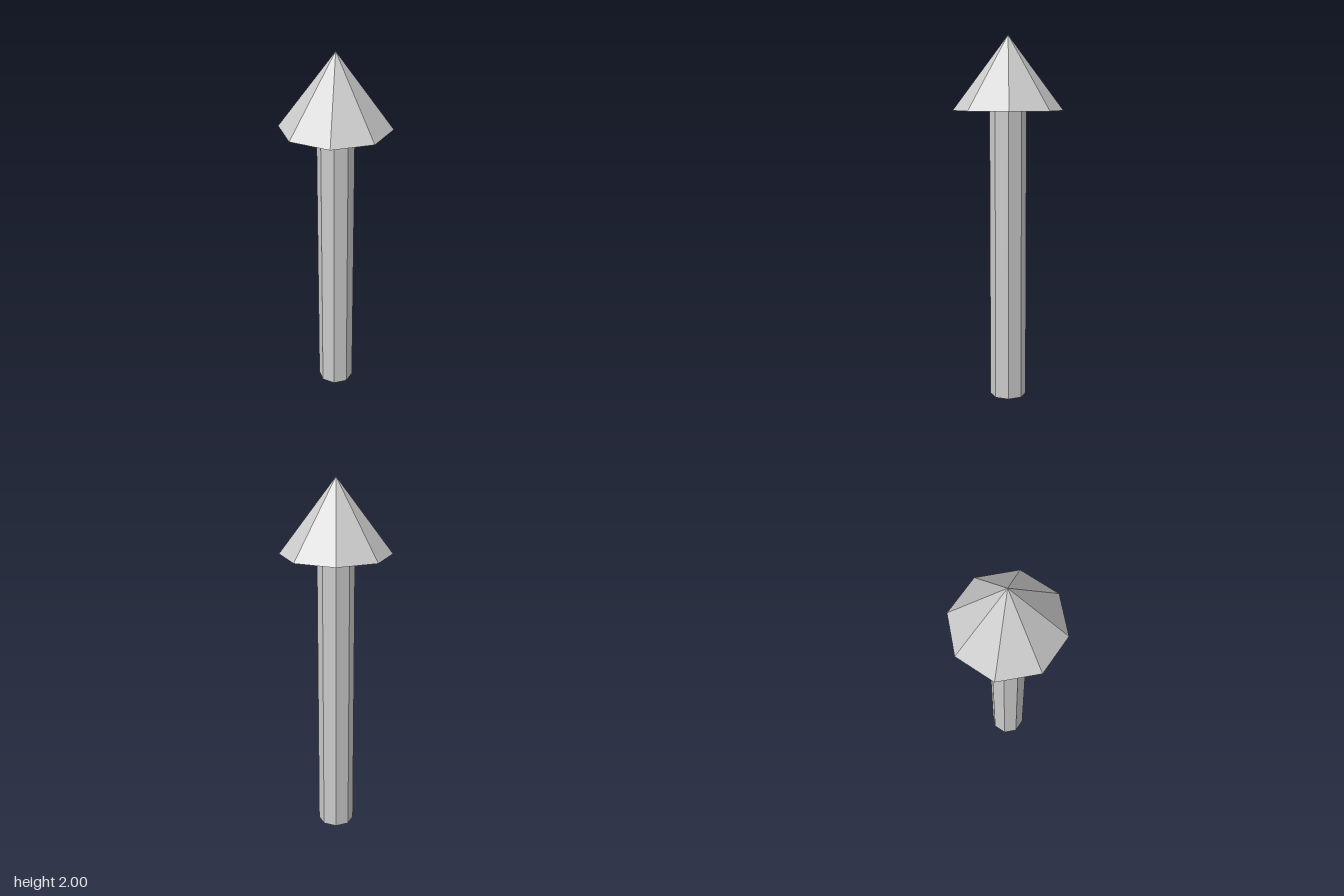
import * as THREE from 'three';

const SIDES = 8;
const SHAFT_HEIGHT = 1.6;
const HEAD_HEIGHT = 0.4;

export function createModel() {
  const group = new THREE.Group();
  group.name = 'arrow';
  const material = new THREE.MeshStandardMaterial({ color: 0xcccccc, flatShading: true });

  // Adds a part standing on the given base height
  const addPart = (name, geometry, height, baseY) => {
    const mesh = new THREE.Mesh(geometry, material);
    mesh.name = name;
    mesh.position.y = baseY + height / 2;
    group.add(mesh);
  };

  // Octagonal shaft
  addPart('shaft', new THREE.CylinderGeometry(0.1, 0.1, SHAFT_HEIGHT, SIDES), SHAFT_HEIGHT, 0);

  // Octagonal pointed head with a closed base
  addPart('head', new THREE.ConeGeometry(0.3, HEAD_HEIGHT, SIDES), HEAD_HEIGHT, SHAFT_HEIGHT);

  return group;
}
